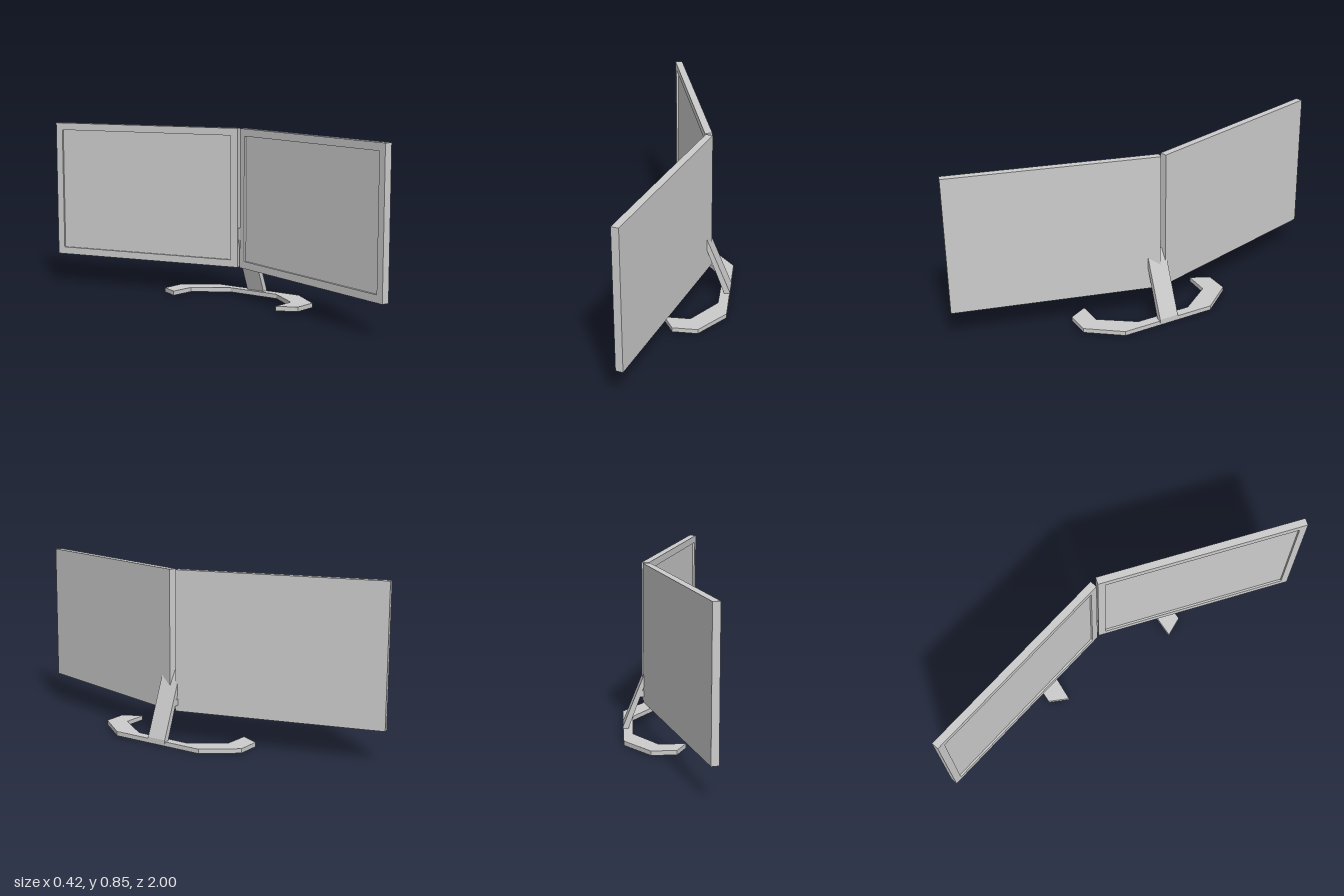
import * as THREE from 'three';

const grey = new THREE.MeshStandardMaterial({ color: 0xcccccc, flatShading: true });
const BOTTOM = 0.155, HEIGHT = 0.69, THICK = 0.036, RECESS = 0.01, BEZEL = 0.036;

function mesh(name, geometry, parent) {
  const m = new THREE.Mesh(geometry, grey);
  m.name = name;
  parent.add(m);
  return m;
}

function polygon(points) {
  return new THREE.Shape(points.map(([x, y]) => new THREE.Vector2(x, y)));
}

function rect(x0, y0, x1, y1) {
  return polygon([[x0, y0], [x1, y0], [x1, y1], [x0, y1]]);
}

// One screen, its rear face running from plan point a to plan point b ([x, z])
function screen(name, a, b) {
  const g = new THREE.Group();
  g.name = name;
  const dx = b[0] - a[0], dz = b[1] - a[1], w = Math.hypot(dx, dz);

  // solid body behind the recessed display
  const depth = THICK - RECESS;
  const body = new THREE.BoxGeometry(w, HEIGHT, depth);
  body.translate(w / 2, HEIGHT / 2, depth / 2);
  mesh('screenBody', body, g);

  // raised frame around the display
  const outline = rect(0, 0, w, HEIGHT);
  outline.holes.push(rect(BEZEL, BEZEL, w - BEZEL, HEIGHT - BEZEL));
  const frame = new THREE.ExtrudeGeometry(outline, { depth: RECESS, bevelEnabled: false });
  frame.translate(0, 0, depth);
  mesh('screenBezel', frame, g);

  g.position.set(a[0], BOTTOM, a[1]);
  g.rotation.y = Math.atan2(-dz, dx);
  return g;
}

// Angular arched foot, lying flat with a very slight lean
function base(parent) {
  const plan = [
    [-0.09, -0.28], [-0.045, -0.375], [0.077, -0.375], [0.203, -0.215],
    [0.207, 0.275], [0.085, 0.437], [-0.037, 0.437], [-0.085, 0.343],
    [0.04, 0.343], [0.157, 0.175], [0.157, -0.11], [0.04, -0.275],
  ];
  const geo = new THREE.ExtrudeGeometry(polygon(plan.map(([x, z]) => [x, -z])),
    { depth: 0.022, bevelEnabled: false });
  geo.rotateX(-Math.PI / 2);
  const p = geo.attributes.position;
  for (let i = 0; i < p.count; i++) {
    p.setY(i, p.getY(i) + 0.0064 + 0.0138 * p.getZ(i) - 0.017 * p.getX(i));
  }
  geo.computeVertexNormals();
  mesh('base', geo, parent);
}

export function createModel() {
  const model = new THREE.Group();
  model.name = 'dualMonitor';

  model.add(screen('leftScreen', [0.11, 0.02], [-0.175, 1.0]));
  model.add(screen('rightScreen', [-0.155, -1.0], [0.105, -0.01]));
  base(model);

  // sloping arm from the base into the joint between the screens
  const side = polygon([[0.183, 0.015], [0.207, 0.015], [0.207, 0.033], [0.08, 0.352], [0.08, 0.295]]);
  const arm = new THREE.ExtrudeGeometry(side, { depth: 0.1, bevelEnabled: false });
  arm.translate(0, 0, -0.02);
  mesh('standArm', arm, model);

  // small hinge block beside the arm
  mesh('hinge', new THREE.BoxGeometry(0.03, 0.03, 0.03), model).position.set(0.11, 0.2, -0.007);

  return model;
}
